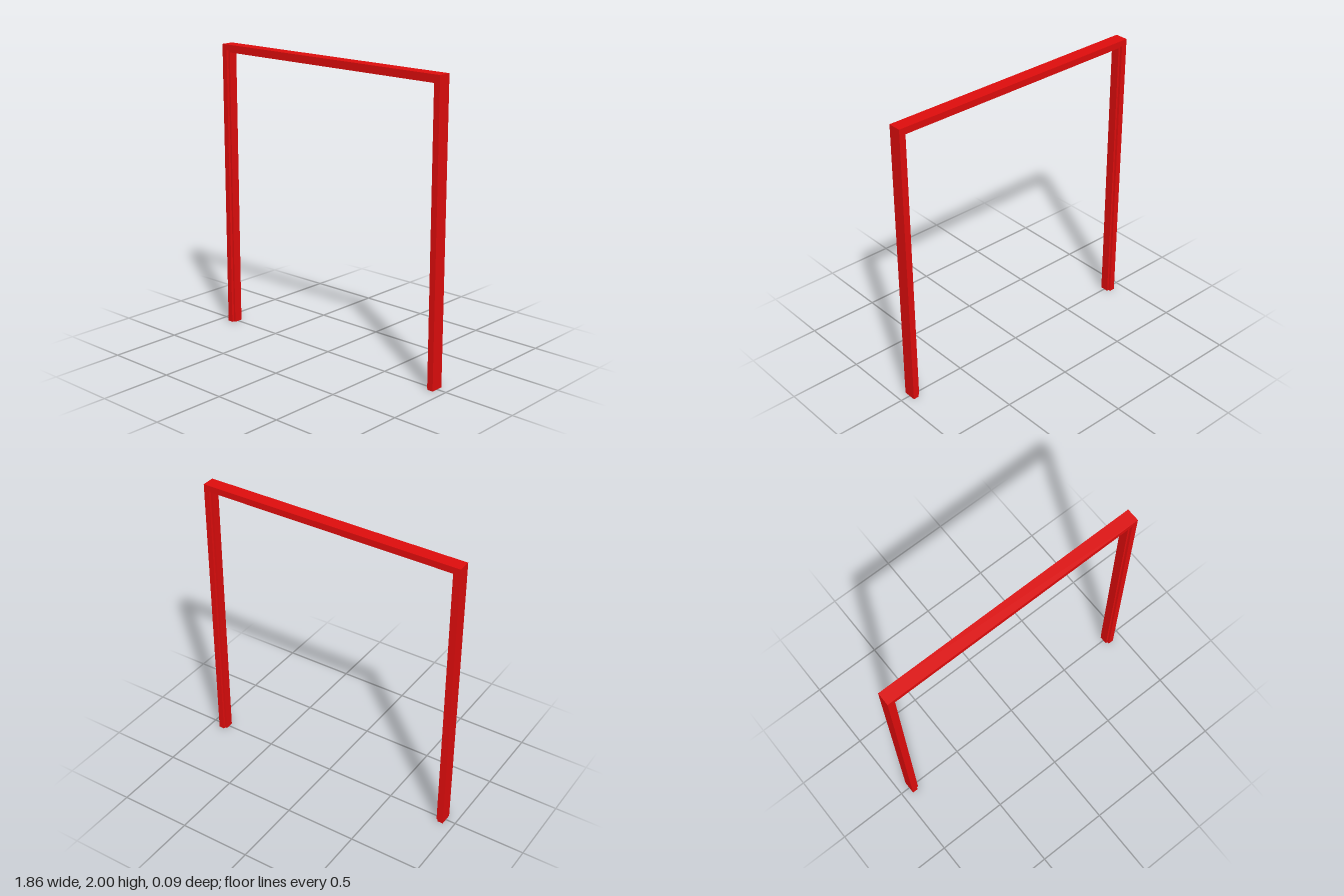
import * as THREE from 'three';

const HALF_WIDTH = 0.93, HEIGHT = 2;

// Moulding cross-section as [inset from the outer edge, z]: deep frame with a narrower stop inside
const section = [
  [0, -0.045], [0, 0.045], [0.039, 0.045], [0.041, 0.03],
  [0.055, 0.03], [0.055, -0.03], [0.041, -0.03], [0.039, -0.045],
];
const capQuads = [[0, 1, 2, 7], [2, 3, 6, 7], [3, 4, 5, 6]];

// Frame path, mitred at the top corners: foot, corner, corner, foot
const stations = [
  ([d, z]) => [-HALF_WIDTH + d, 0, z],
  ([d, z]) => [-HALF_WIDTH + d, HEIGHT - d, z],
  ([d, z]) => [HALF_WIDTH - d, HEIGHT - d, z],
  ([d, z]) => [HALF_WIDTH - d, 0, z],
];

// One straight length of moulding between two neighbouring stations
function mouldingGeometry(i) {
  const positions = [];
  const quad = (a, b, c, d) => positions.push(...a, ...b, ...c, ...a, ...c, ...d);
  const start = section.map(stations[i]);
  const end = section.map(stations[i + 1]);
  section.forEach((_, k) => {
    const n = (k + 1) % section.length;
    quad(start[k], start[n], end[n], end[k]);
  });
  // Close the feet
  for (const q of capQuads) {
    if (i === 0) quad(...[...q].reverse().map((k) => start[k]));
    if (i === 2) quad(...q.map((k) => end[k]));
  }
  const geometry = new THREE.BufferGeometry();
  geometry.setAttribute('position', new THREE.Float32BufferAttribute(positions, 3));
  geometry.computeVertexNormals();
  return geometry;
}

export function createModel() {
  const group = new THREE.Group();
  group.name = 'doorFrame';
  const red = new THREE.MeshStandardMaterial({ color: 0xdd0c0c, flatShading: true });
  ['rightJamb', 'headJamb', 'leftJamb'].forEach((name, i) => {
    const mesh = new THREE.Mesh(mouldingGeometry(i), red);
    mesh.name = name;
    group.add(mesh);
  });
  return group;
}
